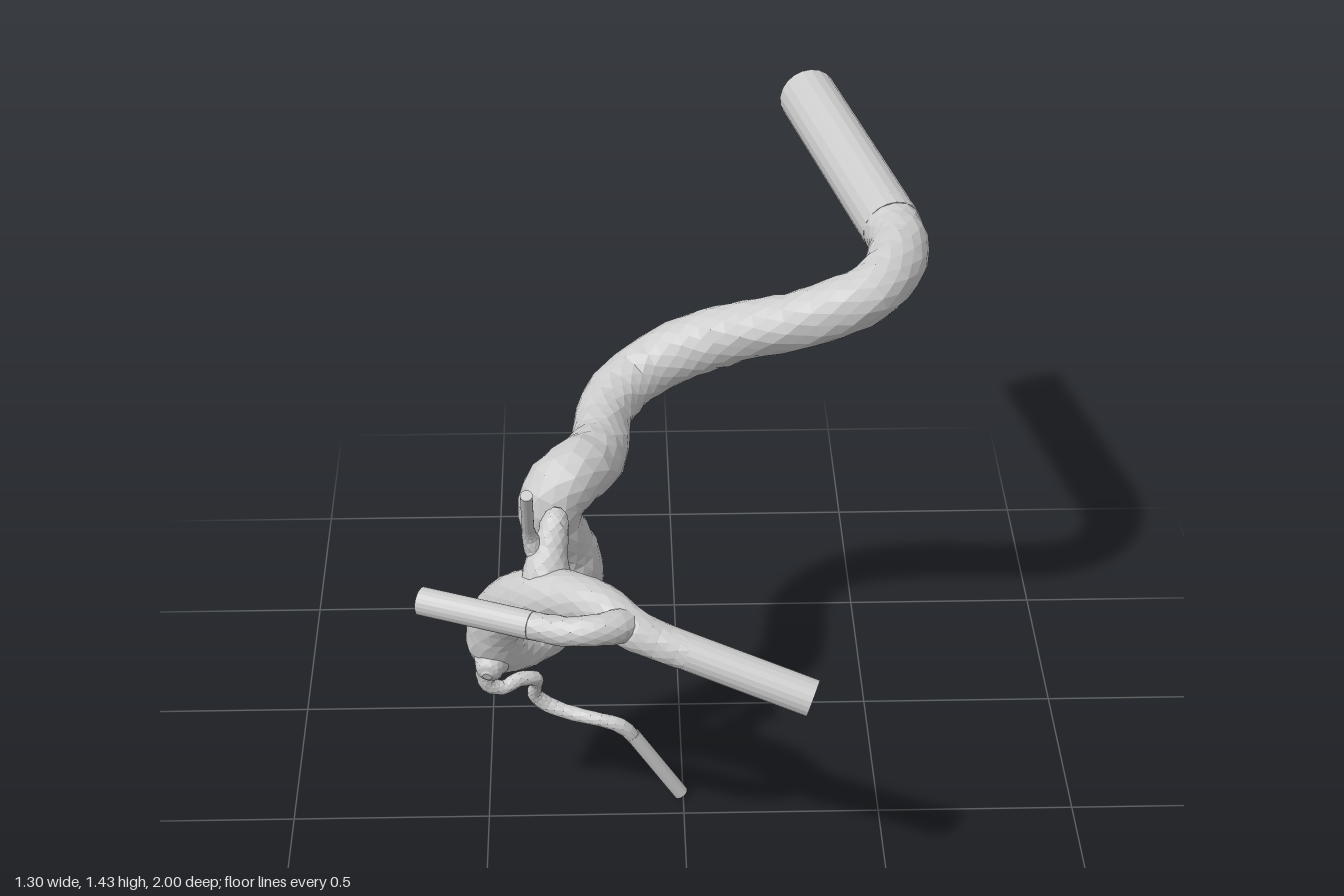
import * as THREE from 'three';

const material = new THREE.MeshStandardMaterial({ color: 0xcccccc, flatShading: true, side: THREE.DoubleSide });

// Repeatable unevenness for the organic walls, in -1..1
function uneven(i, j) {
  const s = Math.sin(i * 12.99 + j * 78.23) * 43758.5;
  return (s - Math.floor(s)) * 2 - 1;
}

// Closed vessel through knots [x, y, z, radius], rings carried along without twist
function vessel(name, knots, sides = 14, perKnot = 3, rough = 0.035) {
  const curve = new THREE.CatmullRomCurve3(knots.map(k => new THREE.Vector3(k[0], k[1], k[2])), false, 'centripetal');
  const rings = (knots.length - 1) * perKnot;
  const pos = [], index = [];
  const normal = new THREE.Vector3(0.31, 0.82, 0.48), side = new THREE.Vector3();
  for (let i = 0; i <= rings; i++) {
    const t = i / rings, p = curve.getPoint(t), tan = curve.getTangent(t);
    normal.addScaledVector(tan, -normal.dot(tan)).normalize();
    side.crossVectors(tan, normal);
    const k = Math.min(Math.floor(i / perKnot), knots.length - 2);
    const f = THREE.MathUtils.smoothstep(i / perKnot - k, 0, 1);
    const r = THREE.MathUtils.lerp(knots[k][3], knots[k + 1][3], f);
    for (let j = 0; j < sides; j++) {
      const a = (j + (i % 2) / 2) / sides * Math.PI * 2;
      const rr = r * (1 + rough * uneven(i, j));
      const v = p.clone().addScaledVector(normal, Math.cos(a) * rr).addScaledVector(side, Math.sin(a) * rr);
      pos.push(v.x, v.y, v.z);
    }
  }
  // Walls, with the diagonal following the half-step offset of the rings
  for (let i = 0; i < rings; i++) for (let j = 0; j < sides; j++) {
    const a = i * sides + j, b = i * sides + (j + 1) % sides, c = a + sides, d = b + sides;
    if (i % 2) index.push(a, b, d, a, d, c);
    else index.push(a, b, c, b, d, c);
  }
  // End caps
  const last = rings * sides;
  for (let j = 1; j < sides - 1; j++) index.push(0, j + 1, j, last, last + j, last + j + 1);
  const geo = new THREE.BufferGeometry();
  geo.setAttribute('position', new THREE.Float32BufferAttribute(pos, 3));
  geo.setIndex(index);
  geo.computeVertexNormals();
  const mesh = new THREE.Mesh(geo, material);
  mesh.name = name;
  return mesh;
}

// Straight cut-off extension from a to b
function extension(name, a, b, r, sides = 20) {
  const from = new THREE.Vector3(...a), to = new THREE.Vector3(...b);
  const dir = to.clone().sub(from);
  const mesh = new THREE.Mesh(new THREE.CylinderGeometry(r, r, dir.length(), sides), material);
  mesh.position.copy(from).add(to).multiplyScalar(0.5);
  mesh.quaternion.setFromUnitVectors(new THREE.Vector3(0, 1, 0), dir.normalize());
  mesh.name = name;
  return mesh;
}

export function createModel() {
  const group = new THREE.Group();
  group.name = 'branchingVessel';

  // Winding main trunk, through the loop to the fork
  group.add(
    extension('inletExtension', [0.56, 1.28, -0.28], [0.38, 1.35, -0.98], 0.08),
    vessel('mainTrunk', [
      [0.542, 1.287, -0.35, 0.079], [0.56, 1.28, -0.28, 0.079], [0.568, 1.272, -0.18, 0.078],
      [0.54, 1.255, -0.08, 0.077], [0.48, 1.23, -0.015, 0.076], [0.39, 1.195, 0, 0.076],
      [0.29, 1.15, -0.02, 0.074], [0.18, 1.11, -0.055, 0.075], [0.08, 1.07, -0.08, 0.08],
      [0, 1.035, -0.085, 0.08], [-0.09, 0.99, -0.07, 0.077], [-0.16, 0.955, -0.01, 0.075],
      [-0.195, 0.935, 0.08, 0.072], [-0.205, 0.925, 0.2, 0.076], [-0.225, 0.935, 0.3, 0.08],
      [-0.27, 0.945, 0.385, 0.084], [-0.32, 0.905, 0.42, 0.085], [-0.325, 0.83, 0.415, 0.078],
      [-0.29, 0.74, 0.375, 0.072], [-0.27, 0.66, 0.355, 0.073], [-0.285, 0.57, 0.35, 0.074],
      [-0.335, 0.505, 0.365, 0.076], [-0.405, 0.485, 0.415, 0.073], [-0.465, 0.52, 0.485, 0.074],
      [-0.465, 0.6, 0.52, 0.07], [-0.435, 0.68, 0.56, 0.068], [-0.375, 0.75, 0.63, 0.067],
      [-0.29, 0.79, 0.7, 0.063], [-0.21, 0.805, 0.77, 0.059], [-0.14, 0.79, 0.84, 0.052],
      [-0.07, 0.765, 0.865, 0.047], [0, 0.743, 0.882, 0.046],
    ]),
    extension('rightForkExtension', [-0.05, 0.759, 0.868], [0.292, 0.656, 0.954], 0.046),
  );

  // Thinner branch of the fork
  group.add(
    vessel('leftFork', [
      [-0.13, 0.79, 0.83, 0.04], [-0.17, 0.81, 0.87, 0.042], [-0.225, 0.815, 0.892, 0.038],
      [-0.29, 0.807, 0.882, 0.036], [-0.36, 0.803, 0.851, 0.034], [-0.42, 0.802, 0.825, 0.034],
    ], 12),
    extension('leftForkExtension', [-0.37, 0.803, 0.848], [-0.635, 0.8, 0.728], 0.035),
  );

  // Blunt stump above the trunk and the thin twig leaving it
  group.add(
    vessel('upperStump', [
      [-0.34, 0.77, 0.65, 0.065], [-0.335, 0.82, 0.625, 0.058], [-0.325, 0.87, 0.6, 0.042],
      [-0.315, 0.915, 0.575, 0.036], [-0.31, 0.94, 0.562, 0.027], [-0.308, 0.953, 0.556, 0.01],
    ], 12),
    vessel('upperTwig', [
      [-0.345, 0.83, 0.61, 0.035], [-0.365, 0.875, 0.607, 0.026],
      [-0.376, 0.915, 0.618, 0.018], [-0.378, 0.95, 0.638, 0.014],
    ], 10),
    extension('upperTwigExtension', [-0.378, 0.93, 0.626], [-0.378, 1.078, 0.712], 0.015, 14),
  );

  // Small swelling under the loop and the thin crooked lower vessel
  group.add(
    vessel('lowerSwelling', [
      [-0.46, 0.53, 0.48, 0.06], [-0.478, 0.5, 0.53, 0.047],
      [-0.487, 0.485, 0.565, 0.033], [-0.49, 0.48, 0.578, 0.012],
    ], 12),
    vessel('lowerTwig', [
      [-0.485, 0.5, 0.515, 0.03], [-0.497, 0.45, 0.512, 0.025], [-0.49, 0.415, 0.51, 0.022],
      [-0.455, 0.398, 0.503, 0.019], [-0.415, 0.41, 0.485, 0.02], [-0.375, 0.4, 0.465, 0.019],
      [-0.372, 0.365, 0.44, 0.016], [-0.378, 0.325, 0.422, 0.019], [-0.345, 0.287, 0.416, 0.021],
      [-0.28, 0.268, 0.432, 0.019], [-0.21, 0.263, 0.455, 0.018], [-0.16, 0.246, 0.458, 0.02],
      [-0.12, 0.197, 0.45, 0.018], [-0.09, 0.15, 0.443, 0.018],
    ], 10),
    extension('lowerTwigExtension', [-0.13, 0.214, 0.452], [-0.006, 0.011, 0.424], 0.0195, 14),
  );
  return group;
}
